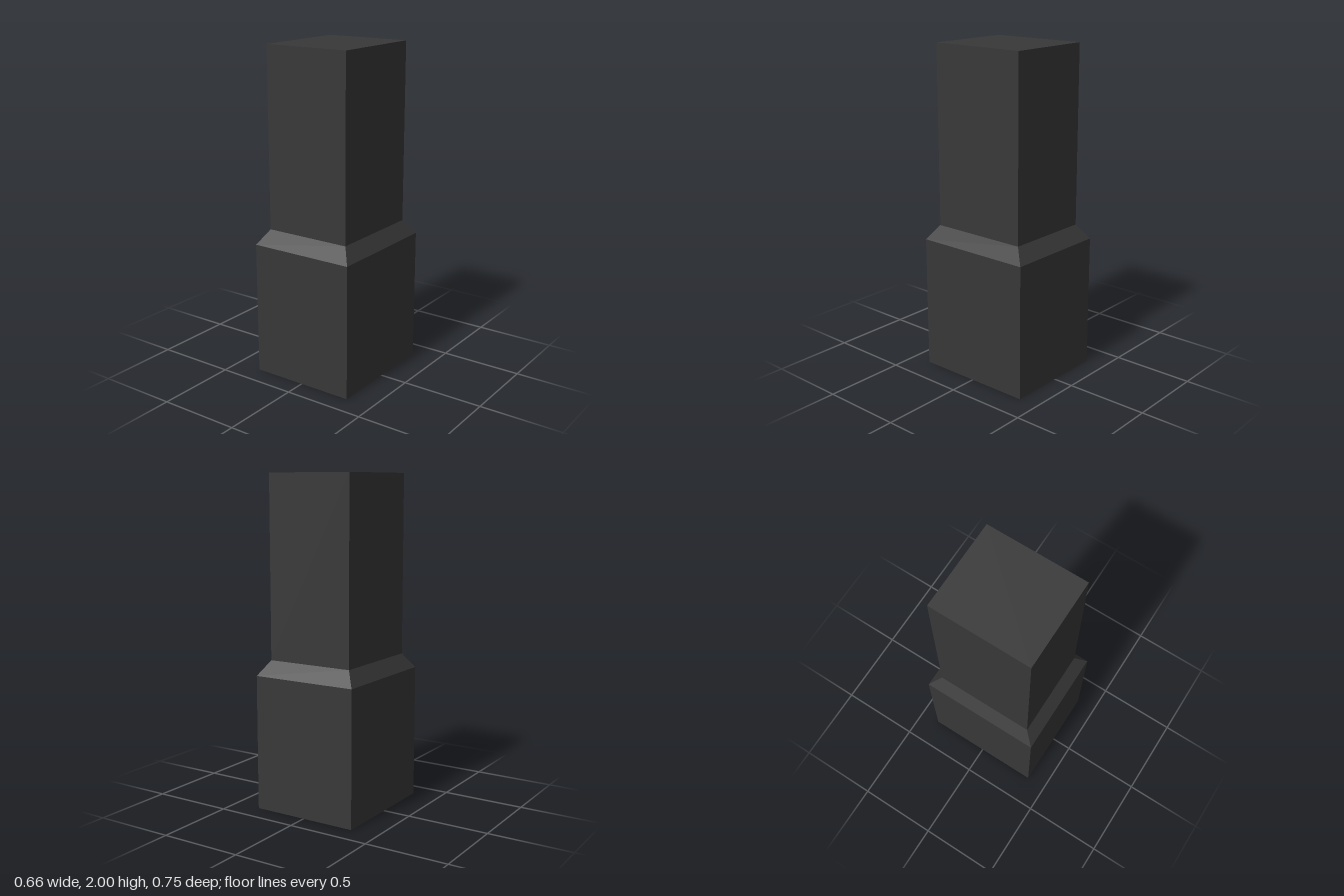
import * as THREE from 'three';

// Four-sided block between two rectangular sections [halfX, halfZ, y]
function taperedBlock(name, bottom, top, material) {
  const box = new THREE.BoxGeometry(2, 2, 2);
  const pos = box.attributes.position;
  for (let i = 0; i < pos.count; i++) {
    const [hx, hz, y] = pos.getY(i) > 0 ? top : bottom;
    pos.setXYZ(i, pos.getX(i) * hx, y, pos.getZ(i) * hz);
  }
  box.computeVertexNormals();
  const mesh = new THREE.Mesh(box, material);
  mesh.name = name;
  return mesh;
}

export function createModel() {
  const model = new THREE.Group();
  model.name = 'steppedPillar';

  const charcoal = new THREE.MeshStandardMaterial({ color: 0x383838 });
  charcoal.name = 'charcoal';

  // Sections from the ground up; each neighbouring pair bounds one part
  const sections = [
    [0.33, 0.373, 0],
    [0.33, 0.373, 0.818],
    [0.271, 0.306, 0.908],
    [0.271, 0.306, 2],
  ];
  ['base', 'slopedShoulder', 'shaft'].forEach((name, i) => {
    model.add(taperedBlock(name, sections[i], sections[i + 1], charcoal));
  });

  return model;
}
